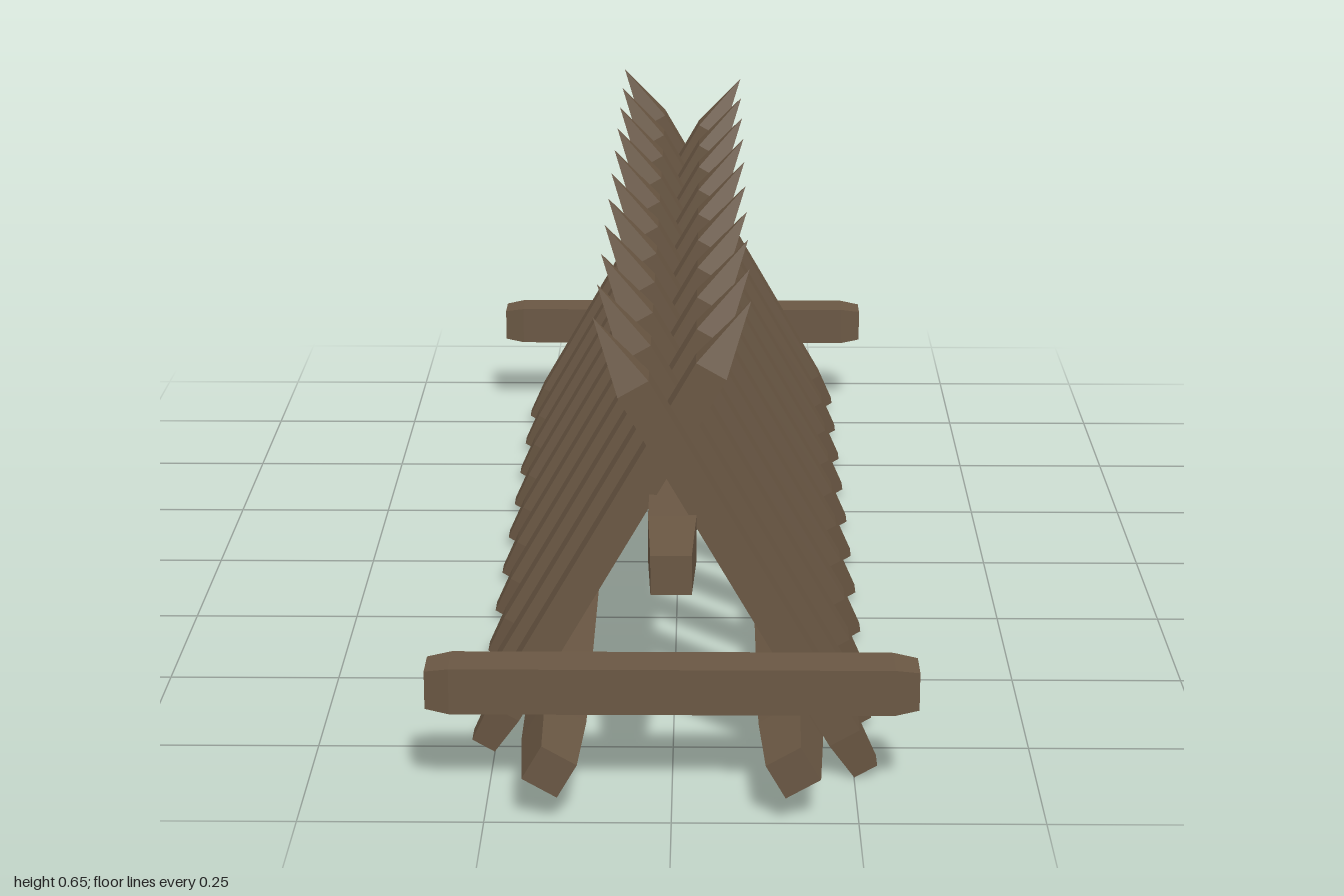
import * as THREE from 'three';

// Square timber along y; profile lists [half width, y] from bottom to top
function timber(profile) {
  const points = [[0, profile[0][1]], ...profile].map(([h, y]) => new THREE.Vector2(h * Math.SQRT2, y));
  const last = profile[profile.length - 1];
  if (last[0] > 0) points.push(new THREE.Vector2(0, last[1]));
  return new THREE.LatheGeometry(points, 4, Math.PI / 4);
}

// Beam centred on the origin with slightly tapered ends
function beam(half, taper) {
  return timber([[0.027, -half], [0.0325, -half + taper], [0.0325, half - taper], [0.027, half]]);
}

export function createModel() {
  const model = new THREE.Group();
  model.name = 'spikedBarricade';
  const wood = new THREE.MeshStandardMaterial({ color: 0x6a5743, flatShading: true });
  wood.name = 'weatheredWood';

  const add = (geometry, name, x, y, z, roll = 0) => {
    const mesh = new THREE.Mesh(geometry, wood);
    mesh.name = name;
    mesh.position.set(x, y, z);
    mesh.rotation.z = roll;
    model.add(mesh);
  };

  const lean = Math.PI / 6;

  // Crossed stakes: eleven lean one way, ten lean the other in the gaps
  const stake = timber([[0.018, 0], [0.0238, 0.06], [0.0238, 0.636], [0, 0.743]]);
  for (let i = 0; i < 21; i++) {
    const side = i % 2 === 0 ? 1 : -1;
    add(stake, side > 0 ? 'leftFootedStake' : 'rightFootedStake',
      side * 0.266, 0.0105, (i - 10) / 12, side * lean);
  }

  // Long rails: one under the crossing, two inside the feet
  const rail = beam(1, 0.14).rotateX(Math.PI / 2);
  add(rail, 'topRail', 0, 0.353, 0);
  for (const side of [1, -1]) add(rail, 'lowerRail', side * 0.162, 0.0745, 0, side * lean);

  // Cross beams at both ends
  const cross = beam(0.333, 0.033).rotateZ(Math.PI / 2);
  for (const side of [1, -1]) add(cross, 'crossBeam', 0, 0.157, side * 0.892);

  return model;
}
